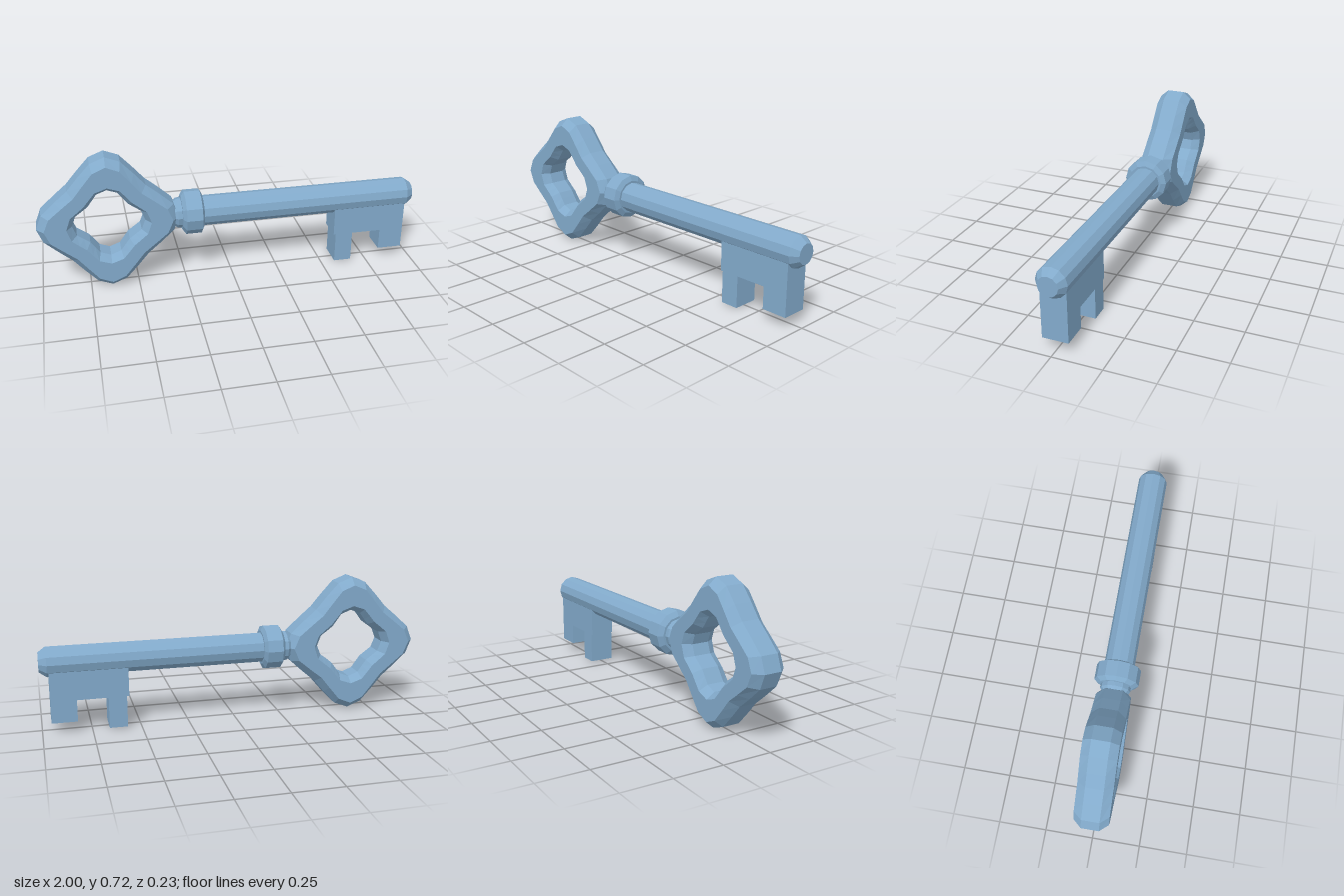
import * as THREE from 'three';

const steel = new THREE.MeshStandardMaterial({ color: 0x82aacb });
steel.name = 'blueSteel';

const AXIS_Y = 0.362;
const BOW_X = -0.638;

function addPart(group, name, geometry) {
  const flat = geometry.index ? geometry.toNonIndexed() : geometry;
  flat.computeVertexNormals();
  const mesh = new THREE.Mesh(flat, steel);
  mesh.name = name;
  group.add(mesh);
  return mesh;
}

// Twelve-sided turned part along x; profile is [radius, x]
function turned(profile) {
  const points = profile.map(([r, x]) => new THREE.Vector2(r, x));
  return new THREE.LatheGeometry(points, 12).rotateZ(-Math.PI / 2).translate(0, AXIS_Y, 0);
}

// Four-lobed outline: half a quadrant of [degrees, radius], mirrored and repeated
function lobes(half) {
  const mirrored = half.slice(1, -1).reverse().map(([a, r]) => [90 - a, r]);
  const quadrant = [...half, ...mirrored];
  return [0, 90, 180, 270].flatMap((q) => quadrant.map(([a, r]) => [THREE.MathUtils.degToRad(a + q), r]));
}

// Bevelled ring swept around the two outlines
function bowGeometry() {
  const outer = lobes([[0, 0.362], [12.7, 0.341], [28, 0.297], [45, 0.277]]);
  const inner = lobes([[0, 0.185], [18, 0.173], [31, 0.152], [45, 0.142]]);
  // Section corners: outline, radial offset, z
  const section = [
    [outer, 0, -0.045], [outer, 0, 0.045], [outer, -0.037, 0.088], [inner, 0.029, 0.088],
    [inner, 0, 0.045], [inner, 0, -0.045], [inner, 0.029, -0.088], [outer, -0.037, -0.088],
  ];
  const n = outer.length;
  const m = section.length;
  const positions = [];
  const index = [];
  for (let i = 0; i < n; i++) {
    for (let j = 0; j < m; j++) {
      const [outline, offset, z] = section[j];
      const [angle, radius] = outline[i];
      const r = radius + offset;
      positions.push(BOW_X + r * Math.cos(angle), AXIS_Y + r * Math.sin(angle), z);
      const i2 = (i + 1) % n;
      const j2 = (j + 1) % m;
      const a = i * m + j, b = i2 * m + j, c = i2 * m + j2, d = i * m + j2;
      index.push(a, b, d, b, c, d);
    }
  }
  const geometry = new THREE.BufferGeometry();
  geometry.setAttribute('position', new THREE.Float32BufferAttribute(positions, 3));
  geometry.setIndex(index);
  return geometry;
}

// Toothed plate hanging below the shaft
function bitGeometry() {
  const outline = [
    [0.56, 0.35], [0.56, 0.17], [0.572, 0.17], [0.572, 0.007], [0.665, 0.007], [0.665, 0.17],
    [0.823, 0.17], [0.823, 0.057], [0.953, 0.057], [0.953, 0.35],
  ].map(([x, y]) => new THREE.Vector2(x, y));
  return new THREE.ExtrudeGeometry(new THREE.Shape(outline), { depth: 0.132, bevelEnabled: false })
    .translate(0, 0, -0.066);
}

export function createModel() {
  const group = new THREE.Group();
  group.name = 'key';
  addPart(group, 'bow', bowGeometry());
  addPart(group, 'shaft', turned([[0, -0.325], [0.05, -0.325], [0.079, -0.285], [0.079, 0.962], [0.051, 1], [0, 1]]));
  addPart(group, 'collar', turned([[0.07, -0.263], [0.09, -0.263], [0.116, -0.245], [0.116, -0.163], [0.09, -0.15], [0.07, -0.15]]));
  addPart(group, 'bit', bitGeometry());
  return group;
}
